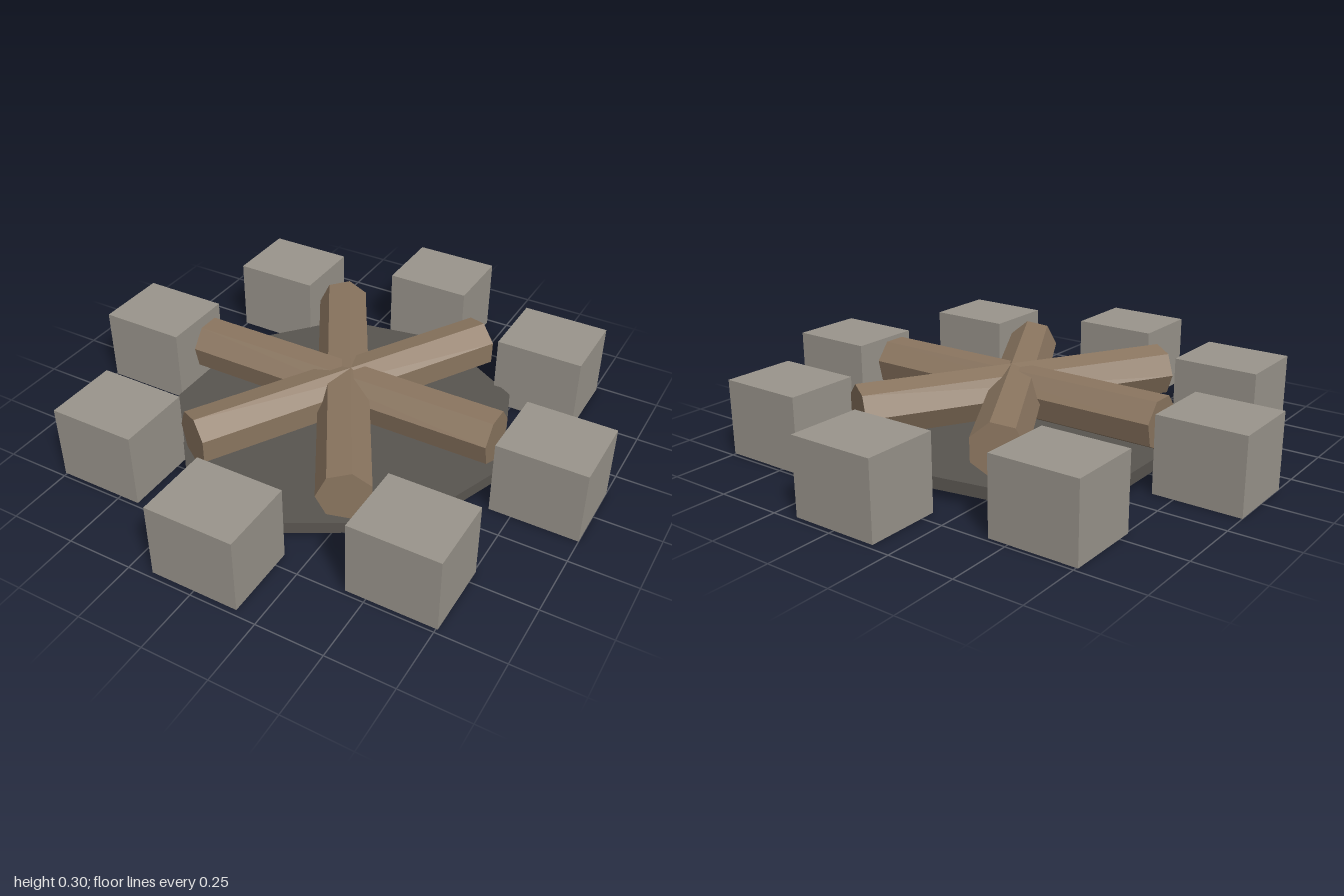
import * as THREE from 'three';

const material = (color) => new THREE.MeshStandardMaterial({ color, flatShading: true });

export function createModel() {
  const group = new THREE.Group();
  const stone = material(0x9a958c);
  const wood = material(0x8b7660);
  const ash = material(0x595550);

  const add = (name, geometry, mat, x, y, z) => {
    const mesh = new THREE.Mesh(geometry, mat);
    mesh.name = name;
    mesh.position.set(x, y, z);
    group.add(mesh);
  };

  // Nine-sided ash bed with one corner on +x
  const bed = new THREE.CylinderGeometry(0.655, 0.655, 0.045, 9);
  bed.rotateY(Math.PI / 2);
  add('ashBed', bed, ash, 0, 0.058, 0);

  // Three seven-sided logs crossing at the centre, two of them slightly rolled
  for (let i = 0; i < 3; i++) {
    const log = new THREE.CylinderGeometry(0.1, 0.1, 1.235, 7);
    log.rotateY(-Math.PI / 2);
    log.rotateZ(Math.PI / 2);
    log.rotateX(i === 0 ? 0 : -0.21);
    log.rotateY((i * Math.PI) / 3);
    add('log' + (i + 1), log, wood, 0, 0.2, 0);
  }

  // Ring of eight stone blocks, all kept square to the axes
  const block = new THREE.BoxGeometry(0.333, 0.286, 0.286);
  for (let i = 0; i < 8; i++) {
    const a = (i * Math.PI) / 4;
    add('stone' + (i + 1), block, stone, 0.834 * Math.cos(a), 0.143, 0.836 * Math.sin(a));
  }
  return group;
}
